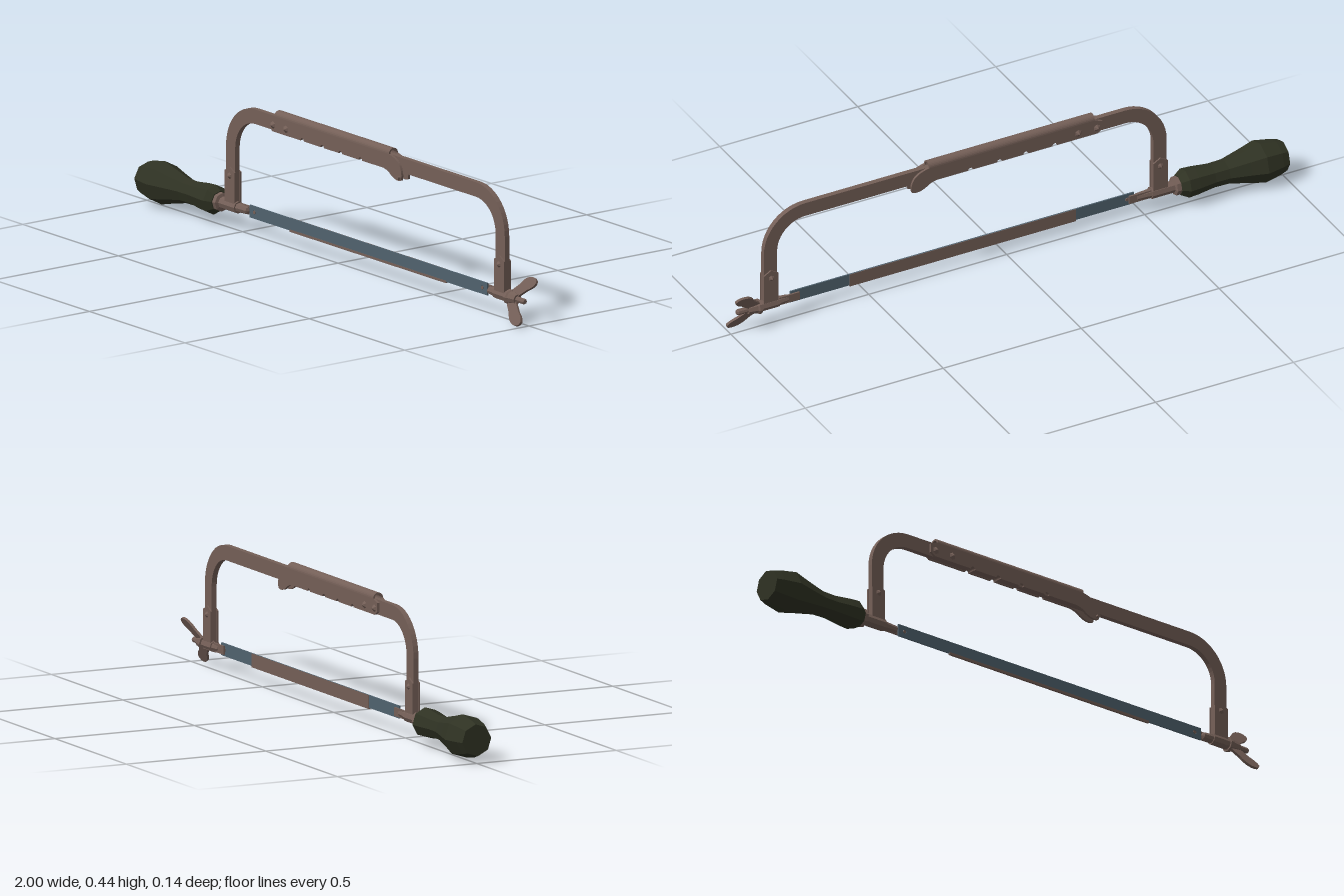
import * as THREE from 'three';

const metal = new THREE.MeshStandardMaterial({ color: 0x745f57, flatShading: true });
metal.name = 'brown metal';
const grip = new THREE.MeshStandardMaterial({ color: 0x2f3223, flatShading: true });
grip.name = 'dark green grip';
const steel = new THREE.MeshStandardMaterial({ color: 0x50626e, flatShading: true });
steel.name = 'blue steel';

const AXIS = 0.075; // height of the blade and handle axis

export function createModel() {
  const root = new THREE.Group();

  const add = (name, geo, mat = metal, parent = root) => {
    const m = new THREE.Mesh(geo, mat);
    m.name = name;
    parent.add(m);
    return m;
  };
  // flat plate in the xy plane, between two z values
  const plate = (name, shape, z0, z1, mat = metal, parent = root) => {
    const g = new THREE.ExtrudeGeometry(shape, { depth: z1 - z0, bevelEnabled: false, curveSegments: 6 });
    return add(name, g.translate(0, 0, z0), mat, parent);
  };
  // turned part along x, from [x, radius] pairs
  const turned = (name, pts, sides, mat = metal) => {
    const g = new THREE.LatheGeometry(pts.map(([x, r]) => new THREE.Vector2(r, x)), sides, -0.09);
    return add(name, g.rotateZ(-Math.PI / 2).translate(0, AXIS, 0), mat);
  };
  const poly = (pts) => new THREE.Shape(pts.map(([x, y]) => new THREE.Vector2(x, y)));
  const box = (name, x0, x1, y0, y1, z0, z1, mat = metal) =>
    add(name, new THREE.BoxGeometry(x1 - x0, y1 - y0, z1 - z0)
      .translate((x0 + x1) / 2, (y0 + y1) / 2, (z0 + z1) / 2), mat);

  // bow frame with rounded corners and two notches on its underside
  const bow = new THREE.Shape();
  bow.moveTo(-0.575, 0.06);
  bow.lineTo(-0.575, 0.27);
  bow.absarc(-0.425, 0.27, 0.15, Math.PI, Math.PI / 2, true);
  bow.lineTo(0.735, 0.42);
  bow.absarc(0.735, 0.27, 0.15, Math.PI / 2, 0, true);
  bow.lineTo(0.885, 0.06);
  bow.lineTo(0.837, 0.06);
  bow.lineTo(0.837, 0.27);
  bow.absarc(0.735, 0.27, 0.102, 0, Math.PI / 2, false);
  for (const x of [-0.06, -0.165]) {
    bow.lineTo(x + 0.009, 0.372);
    bow.absarc(x, 0.372, 0.009, 0, Math.PI, false);
  }
  bow.lineTo(-0.425, 0.372);
  bow.absarc(-0.425, 0.27, 0.102, Math.PI / 2, Math.PI, false);
  bow.lineTo(-0.527, 0.06);
  plate('bowFrame', bow, -0.009, 0.009);

  // sleeve sides with notches and a hooked lobe at the end
  const side = new THREE.Shape();
  side.moveTo(-0.31, 0.422);
  side.lineTo(-0.338, 0.412);
  side.lineTo(-0.338, 0.382);
  side.lineTo(-0.32, 0.371);
  for (const x of [-0.165, -0.06, 0.035, 0.14]) {
    side.lineTo(x - 0.009, 0.371);
    side.absarc(x, 0.371, 0.009, Math.PI, 0, true);
  }
  side.lineTo(0.26, 0.371);
  side.quadraticCurveTo(0.285, 0.368, 0.3, 0.355);
  side.quadraticCurveTo(0.33, 0.338, 0.352, 0.347);
  side.quadraticCurveTo(0.36, 0.37, 0.345, 0.395);
  side.quadraticCurveTo(0.33, 0.415, 0.29, 0.422);
  plate('sleeveSideFront', side, 0.01, 0.018);
  plate('sleeveSideBack', side, -0.018, -0.01);

  // folded top of the sleeve
  const arch = new THREE.Shape();
  arch.absarc(0, 0.422, 0.018, 0, Math.PI, false);
  arch.lineTo(-0.012, 0.422);
  arch.absarc(0, 0.422, 0.012, Math.PI, 0, true);
  add('sleeveTop', new THREE.ExtrudeGeometry(arch, { depth: 0.6, bevelEnabled: false, curveSegments: 6 })
    .rotateY(Math.PI / 2).translate(-0.31, 0, 0));

  // leg cheeks, with pointed rivets on legs and sleeve
  for (const [x0, x1] of [[-0.577, -0.525], [0.835, 0.887]]) {
    for (const [z0, z1] of [[0.009, 0.014], [-0.014, -0.009]]) {
      plate('legCheek', poly([[x0, 0.062], [x1, 0.062], [x1, 0.19], [(x0 + x1) / 2, 0.205], [x0, 0.19]]), z0, z1);
    }
  }
  const rivets = [[-0.318, 0.392, 0.017, 0.028, 0.014], [-0.25, 0.392, 0.017, 0.028, 0.014],
    [-0.55, 0.176, 0.013, 0.023, 0.012], [0.86, 0.176, 0.013, 0.023, 0.012]];
  for (const [x, y, z0, z1, r] of rivets) {
    for (const s of [1, -1]) {
      add('rivet', new THREE.ConeGeometry(r, z1 - z0, 6).rotateX(s * Math.PI / 2)
        .translate(x, y, s * (z0 + z1) / 2));
    }
  }
  add('sleevePin', new THREE.CylinderGeometry(0.006, 0.006, 0.014, 6).rotateX(Math.PI / 2)
    .translate(0.345, 0.355, 0.021));

  // blade with end holes, tooth strip and backing
  const blade = poly([[-0.46, 0.056], [0.785, 0.056], [0.785, 0.097], [-0.46, 0.097]]);
  for (const x of [-0.435, 0.76]) {
    const hole = new THREE.Path();
    hole.absarc(x, 0.077, 0.007, 0, Math.PI * 2, true);
    blade.holes.push(hole);
    add('bladePin', new THREE.CylinderGeometry(0.006, 0.006, 0.008, 6).rotateX(Math.PI / 2)
      .translate(x, 0.077, 0));
  }
  plate('blade', blade, -0.002, 0.003, steel);
  box('bladeToothStrip', -0.25, 0.57, 0.052, 0.06, -0.003, 0.004);
  box('bladeBacking', -0.25, 0.57, 0.056, 0.097, -0.0035, -0.002);

  // blade holders
  for (const [x0, x1] of [[-0.53, -0.44], [0.755, 0.84]]) {
    box('bladeHolder', x0, x1, 0.062, 0.09, -0.009, -0.003);
  }
  turned('leftHolderStud', [[-0.53, 0], [-0.53, 0.016], [-0.47, 0.012], [-0.465, 0]], 8);
  turned('rightHolderStud', [[0.79, 0], [0.795, 0.012], [0.84, 0.016], [0.84, 0]], 8);

  // handle, ferrule and leg bushings
  turned('handle', [[-1, 0], [-1, 0.052], [-0.975, 0.06], [-0.915, 0.071], [-0.86, 0.057], [-0.79, 0.041],
    [-0.74, 0.04], [-0.68, 0.047], [-0.645, 0.049], [-0.62, 0.034], [-0.62, 0]], 8, grip);
  turned('ferrule', [[-0.64, 0], [-0.64, 0.031], [-0.605, 0.031], [-0.602, 0.02], [-0.52, 0.02], [-0.52, 0]], 8);
  turned('rightBushing', [[0.83, 0], [0.83, 0.019], [0.895, 0.019], [0.895, 0.025], [0.905, 0.025],
    [0.91, 0.021], [0.94, 0.016], [0.94, 0]], 8);
  turned('screwEnd', [[0.93, 0], [0.93, 0.01], [0.975, 0.01], [0.98, 0.007], [0.98, 0]], 8);

  // wing nut, tilted around the screw axis
  const nut = new THREE.Group();
  nut.name = 'wingNut';
  nut.position.y = AXIS;
  nut.rotation.x = -0.48;
  root.add(nut);
  for (const s of [1, -1]) {
    const wing = new THREE.Shape();
    wing.moveTo(0.9, s * 0.01);
    wing.lineTo(0.902, s * 0.024);
    wing.lineTo(0.928, s * 0.05);
    wing.quadraticCurveTo(0.945, s * 0.082, 0.975, s * 0.083);
    wing.quadraticCurveTo(0.997, s * 0.083, 1.0, s * 0.066);
    wing.quadraticCurveTo(0.995, s * 0.05, 0.972, s * 0.038);
    wing.lineTo(0.945, s * 0.014);
    wing.lineTo(0.94, s * 0.008);
    plate('wing', wing, -0.004, 0.004, metal, nut);
  }
  return root;
}
